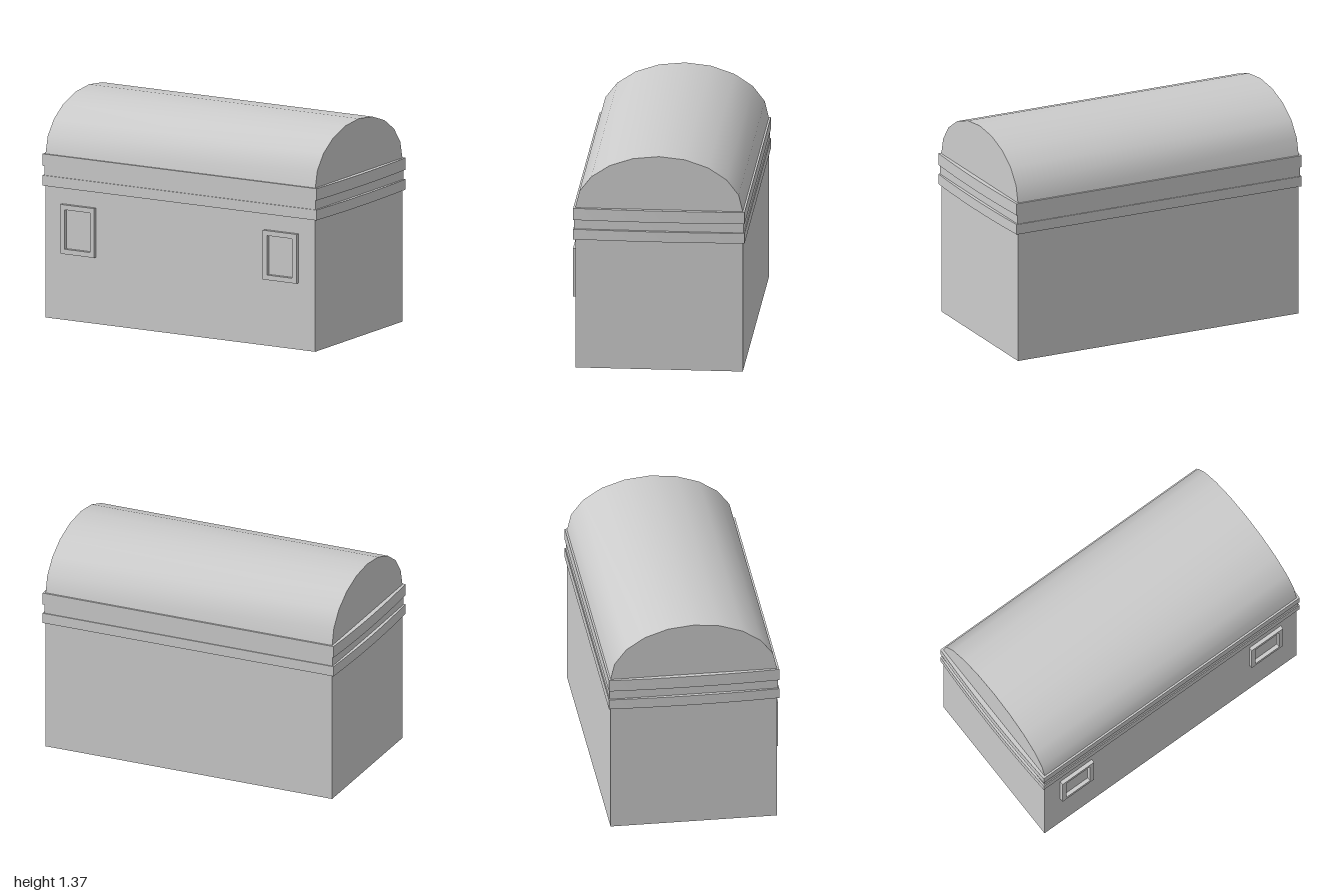
import * as THREE from 'three';
import { toCreasedNormals } from 'three/addons/utils/BufferGeometryUtils.js';

const material = new THREE.MeshStandardMaterial({ color: 0xcccccc });
const MID_Z = -0.006; // the chest sits slightly behind the centre, the plates stick out in front
const FRONT_Z = 0.511;

function addMesh(parent, name, geometry, x = 0, y = 0, z = 0) {
  const mesh = new THREE.Mesh(geometry, material);
  mesh.name = name;
  mesh.position.set(x, y, z);
  parent.add(mesh);
  return mesh;
}

// Half-elliptical lid profile, ten sides, extruded along the length
function lidGeometry(halfLength, halfDepth, rise) {
  const points = [];
  for (let i = 0; i <= 10; i++) {
    const a = (Math.PI * i) / 10;
    points.push(new THREE.Vector2(Math.cos(a) * halfDepth, Math.sin(a) * rise));
  }
  const geometry = new THREE.ExtrudeGeometry(new THREE.Shape(points), {
    depth: halfLength * 2, bevelEnabled: false,
  });
  geometry.translate(0, 0, -halfLength).rotateY(Math.PI / 2);
  return toCreasedNormals(geometry, 0.7);
}

// Band with straight front and back and gently bowed ends
function bandGeometry(halfLength, bulge, halfDepth, height) {
  const points = [];
  for (const side of [1, -1]) {
    for (let i = 0; i <= 8; i++) {
      const t = -1 + i / 4;
      points.push(new THREE.Vector2(side * (halfLength + bulge * (1 - t * t)), side * t * halfDepth));
    }
  }
  const geometry = new THREE.ExtrudeGeometry(new THREE.Shape(points), {
    depth: height, bevelEnabled: false,
  });
  geometry.rotateX(-Math.PI / 2);
  return toCreasedNormals(geometry, 0.5);
}

// Rectangular frame with an open middle
function frameGeometry(width, height, rim, depth) {
  const rectangle = (Type, w, h) => new Type([[-w, -h], [w, -h], [w, h], [-w, h]]
    .map(([x, y]) => new THREE.Vector2(x / 2, y / 2)));
  const shape = rectangle(THREE.Shape, width, height);
  shape.holes.push(rectangle(THREE.Path, width - rim * 2, height - rim * 2));
  return new THREE.ExtrudeGeometry(shape, { depth, bevelEnabled: false });
}

export function createModel() {
  const chest = new THREE.Group();
  chest.name = 'chest';

  addMesh(chest, 'body', new THREE.BoxGeometry(1.94, 1.03, 1.034), 0, 0.515, MID_Z);
  addMesh(chest, 'lid', lidGeometry(0.97, 0.517, 0.342), 0, 1.03, MID_Z);

  // Two raised bands with a shallow groove between them
  addMesh(chest, 'lowerBand', bandGeometry(0.985, 0.015, 0.529, 0.065), 0, 0.83, MID_Z);
  addMesh(chest, 'groove', bandGeometry(0.975, 0.003, 0.523, 0.06), 0, 0.895, MID_Z);
  addMesh(chest, 'upperBand', bandGeometry(0.985, 0.015, 0.529, 0.075), 0, 0.955, MID_Z);

  // Framed plates on the front
  for (const side of [1, -1]) {
    addMesh(chest, side > 0 ? 'leftPlate' : 'rightPlate',
      frameGeometry(0.243, 0.31, 0.031, 0.024), side * 0.728, 0.574, FRONT_Z);
  }
  return chest;
}
